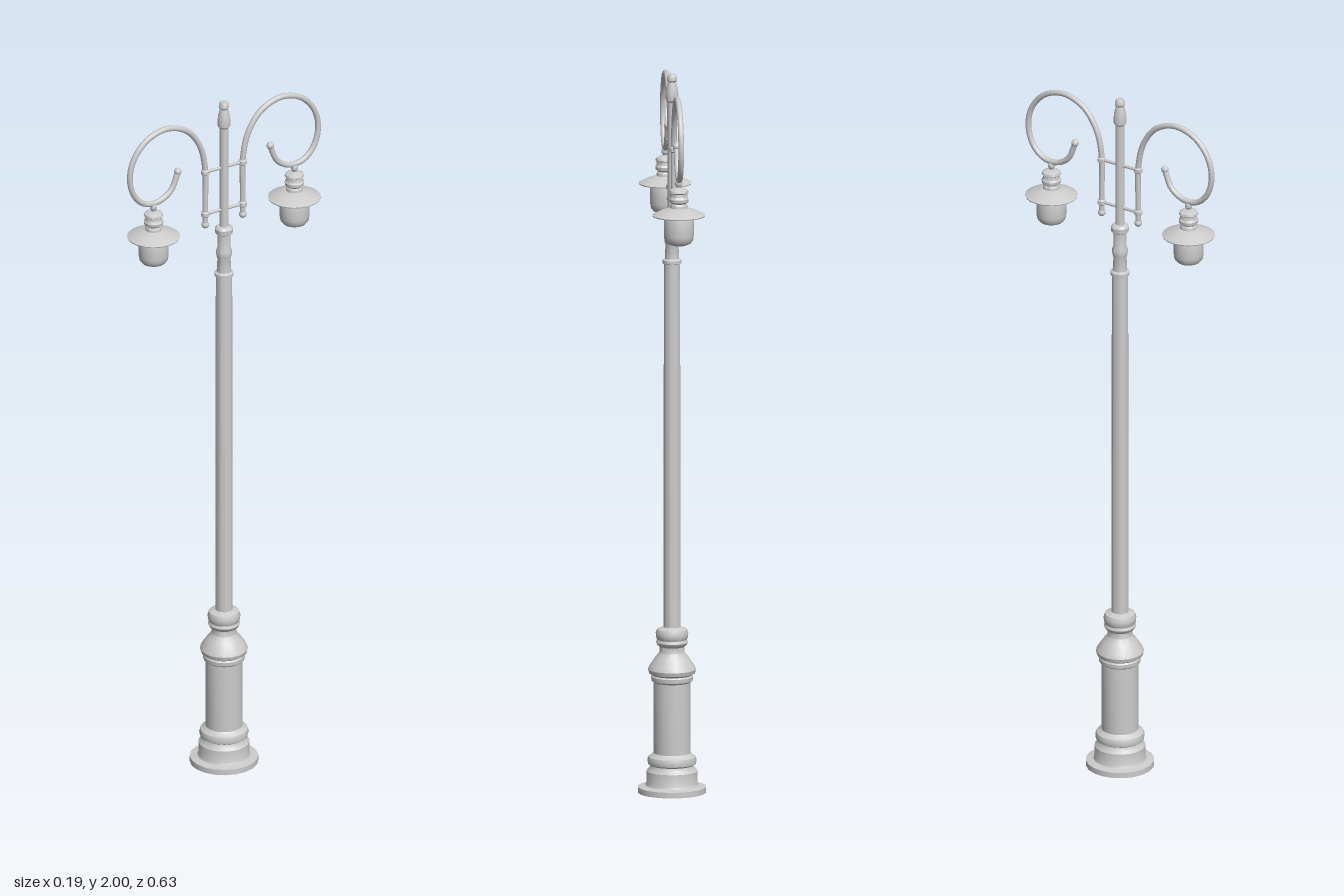
import * as THREE from 'three';
import { toCreasedNormals } from 'three/addons/utils/BufferGeometryUtils.js';

const material = new THREE.MeshStandardMaterial({ color: 0xcccccc, side: THREE.DoubleSide });

function add(parent, name, geometry, x = 0, y = 0, z = 0) {
  const mesh = new THREE.Mesh(geometry, material);
  mesh.name = name;
  mesh.position.set(x, y, z);
  parent.add(mesh);
  return mesh;
}

// Turned part from [radius, height] pairs, bottom to top
function turned(profile, sides = 20) {
  const points = profile.map(([r, y]) => new THREE.Vector2(r, y));
  return toCreasedNormals(new THREE.LatheGeometry(points, sides), 0.6);
}

// One scrolled bracket with its hanging lantern, lying in the yz plane
function createArm() {
  const arm = new THREE.Group();
  const reach = 0.061, lampZ = 0.229;

  // Upright that sweeps into an open scroll
  const path = [
    [0.061, 1.645], [0.061, 1.72], [0.061, 1.81], [0.078, 1.885], [0.12, 1.942], [0.185, 1.966],
    [0.25, 1.948], [0.293, 1.9], [0.306, 1.843], [0.29, 1.787], [0.255, 1.756],
    [0.212, 1.753], [0.172, 1.777], [0.15, 1.826],
  ].map(([z, y]) => new THREE.Vector3(0, y, z));
  add(arm, 'scrollTube', new THREE.TubeGeometry(new THREE.CatmullRomCurve3(path), 72, 0.008, 10));
  add(arm, 'scrollTip', new THREE.SphereGeometry(0.0105, 12, 8), 0, 1.828, 0.15);
  add(arm, 'uprightFoot', new THREE.SphereGeometry(0.0105, 12, 8), 0, 1.643, reach);

  // Two tie bars with collars round the upright
  for (const y of [1.675, 1.802]) {
    const bar = add(arm, 'tieBar', new THREE.CylinderGeometry(0.0045, 0.0045, reach, 8), 0, y, reach / 2);
    bar.rotation.x = Math.PI / 2;
    add(arm, 'barCollar', turned([[0.008, -0.008], [0.012, -0.005], [0.012, 0.005], [0.008, 0.008]], 12), 0, y, reach);
  }

  const lantern = new THREE.Group();
  lantern.name = 'lantern';
  lantern.position.z = lampZ;
  arm.add(lantern);
  add(lantern, 'hanger', turned([
    [0.009, 1.722], [0.006, 1.73], [0.01, 1.737], [0.01, 1.745], [0.006, 1.752],
  ], 12));
  add(lantern, 'lampCap', turned([
    [0.023, 1.668], [0.023, 1.68], [0.02, 1.685], [0.026, 1.69], [0.027, 1.698], [0.023, 1.704],
    [0.023, 1.713], [0.027, 1.716], [0.025, 1.722], [0.014, 1.728], [0, 1.73],
  ]));
  add(lantern, 'shade', turned([
    [0.038, 1.648], [0.072, 1.65], [0.073, 1.653], [0.046, 1.666], [0.022, 1.673],
  ]));
  add(lantern, 'globe', turned([
    [0, 1.568], [0.02, 1.569], [0.032, 1.574], [0.039, 1.583], [0.041, 1.595], [0.041, 1.638], [0.037, 1.652],
  ]));
  return arm;
}

export function createModel() {
  const model = new THREE.Group();
  model.name = 'streetLamp';

  // Hollow pedestal with mouldings
  add(model, 'pedestal', turned([
    [0, 0.31], [0.045, 0.31], [0.045, 0.1], [0.063, 0.06], [0.065, 0], [0.094, 0], [0.094, 0.016],
    [0.073, 0.02], [0.07, 0.026], [0.07, 0.06], [0.062, 0.068], [0.06, 0.076], [0.066, 0.08],
    [0.068, 0.09], [0.065, 0.1], [0.056, 0.105], [0.051, 0.11], [0.051, 0.307], [0.057, 0.312],
    [0.058, 0.323], [0.055, 0.327], [0.063, 0.332], [0.066, 0.343], [0.062, 0.352],
    [0.046, 0.376], [0.035, 0.39], [0.034, 0.406], [0.04, 0.41], [0.044, 0.418],
    [0.041, 0.426], [0.044, 0.432], [0.045, 0.444], [0.041, 0.455], [0.024, 0.461],
  ]));
  add(model, 'post', turned([[0.0235, 0.455], [0.0225, 1.475]]));

  // Joint between the main post and the thin mast
  add(model, 'joint', turned([
    [0.0225, 1.472], [0.026, 1.474], [0.026, 1.483], [0.02, 1.487], [0.018, 1.525], [0.021, 1.535],
    [0.022, 1.548], [0.018, 1.56], [0.018, 1.6], [0.024, 1.604], [0.025, 1.617], [0.02, 1.623], [0.012, 1.625],
  ]));
  add(model, 'mast', turned([[0.0125, 1.62], [0.0125, 1.93]]));
  add(model, 'finial', turned([
    [0.0125, 1.922], [0.017, 1.927], [0.018, 1.94], [0.016, 1.96], [0.011, 1.979],
    [0.014, 1.983], [0.014, 1.992], [0.01, 2], [0, 2],
  ]));

  // Two brackets opposite one another, turned slightly off the z axis
  for (const [name, turn] of [['frontArm', 0], ['backArm', Math.PI]]) {
    const arm = createArm();
    arm.name = name;
    arm.rotation.y = turn - 0.09;
    model.add(arm);
  }
  return model;
}
